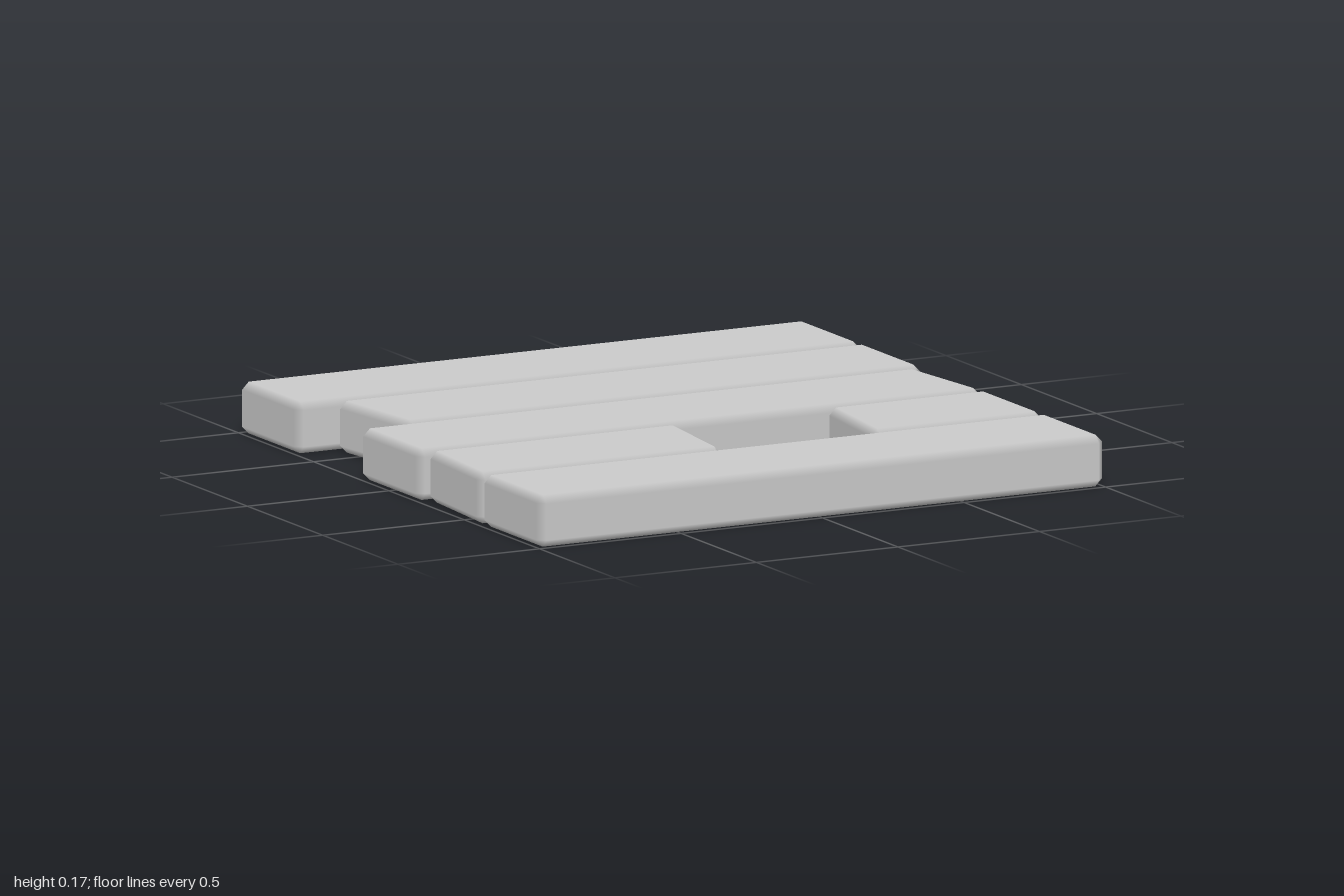
import * as THREE from 'three';
import { ConvexGeometry } from 'three/addons/geometries/ConvexGeometry.js';

const HEIGHT = 0.165, WIDTH = 0.39, PITCH = 0.4025, BEVEL = 0.024;

// Chamfered plank; each end has an x at its back (-z) and front (+z) corner.
function plankGeometry([leftBack, leftFront], [rightBack, rightFront]) {
  const points = [], normals = [];
  const key = (x, y, z) => [x, y, z].map((v) => Math.round(v * 1e4)).join();
  const normalAt = new Map();
  for (const sx of [-1, 1]) for (const sy of [-1, 1]) for (const sz of [-1, 1]) {
    // Three points per corner, one on each main face.
    for (let face = 0; face < 3; face++) {
      const y = sy * (HEIGHT / 2 - (face === 1 ? 0 : BEVEL));
      const z = sz * (WIDTH / 2 - (face === 2 ? 0 : BEVEL));
      const t = z / WIDTH + 0.5;
      const [back, front] = sx < 0 ? [leftBack, leftFront] : [rightBack, rightFront];
      const x = THREE.MathUtils.lerp(back, front, t) - (face === 0 ? 0 : sx * BEVEL);
      points.push(new THREE.Vector3(x, y, z));
      const n = face === 0 ? new THREE.Vector3(sx, 0, -sx * (front - back) / WIDTH).normalize()
        : new THREE.Vector3(0, face === 1 ? sy : 0, face === 2 ? sz : 0);
      normalAt.set(key(x, y, z), n);
    }
  }
  // Main faces stay flat while the chamfers shade smoothly between them.
  const geometry = new ConvexGeometry(points);
  const p = geometry.attributes.position;
  for (let i = 0; i < p.count; i++) {
    normals.push(...normalAt.get(key(p.getX(i), p.getY(i), p.getZ(i))).toArray());
  }
  geometry.setAttribute('normal', new THREE.Float32BufferAttribute(normals, 3));
  return geometry;
}

export function createModel() {
  const group = new THREE.Group();
  group.name = 'plankFloor';
  const material = new THREE.MeshStandardMaterial({ color: 0xcccccc });

  // Row from back to front, then the left and right ends as seen from the front.
  const planks = [
    ['backPlank', -2, [-1, -1], [1, 1]],
    ['shortPlank', -1, [-0.87, -0.825], [1, 1]],
    ['middlePlank', 0, [-1, -1], [0.96, 1]],
    ['brokenPlankLong', 1, [-0.975, -1], [-0.095, -0.135]],
    ['brokenPlankShort', 1, [0.435, 0.393], [1, 1]],
    ['frontPlank', 2, [-1, -1], [1, 1]],
  ];
  for (const [name, row, minX, maxX] of planks) {
    const plank = new THREE.Mesh(plankGeometry(minX, maxX), material);
    plank.name = name;
    plank.position.set(0, HEIGHT / 2, row * PITCH);
    group.add(plank);
  }
  return group;
}
